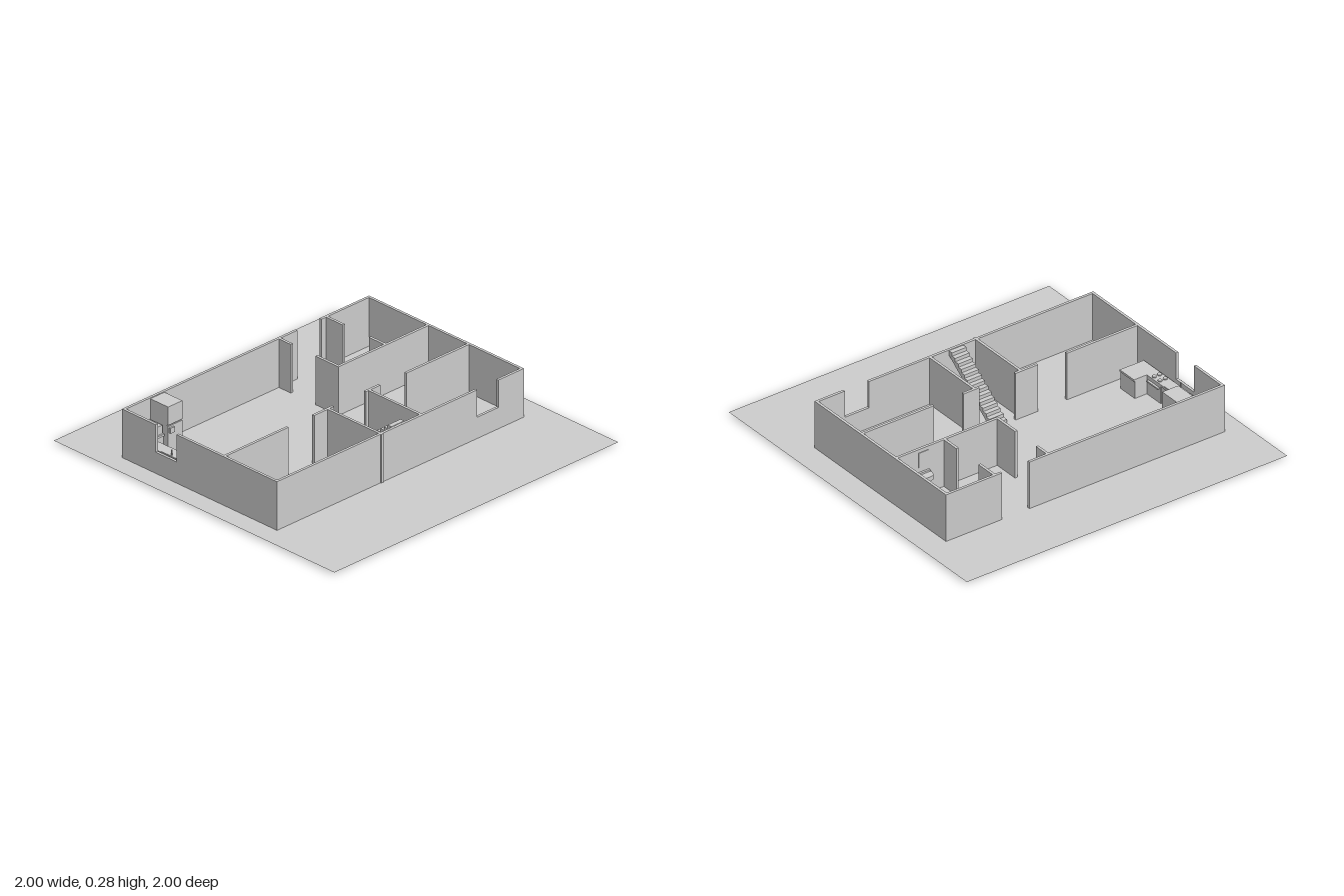
import * as THREE from 'three';

const grey = new THREE.MeshStandardMaterial({ color: 0xcccccc, flatShading: true, side: THREE.DoubleSide });
const smooth = new THREE.MeshStandardMaterial({ color: 0xcccccc, side: THREE.DoubleSide });

const BASE = 0.008, TOP = 0.285, SILL = 0.13, FLOOR = 0.01;

export function createModel() {
  const model = new THREE.Group();
  model.name = 'floorPlanHouse';

  const group = (name) => {
    const g = new THREE.Group();
    g.name = name;
    model.add(g);
    return g;
  };
  const add = (parent, name, geometry, material = grey) => {
    const mesh = new THREE.Mesh(geometry, material);
    mesh.name = name;
    parent.add(mesh);
    return mesh;
  };
  // Box given by its limits on each axis
  const box = (parent, name, x0, x1, y0, y1, z0, z1) =>
    add(parent, name, new THREE.BoxGeometry(x1 - x0, y1 - y0, z1 - z0))
      .position.set((x0 + x1) / 2, (y0 + y1) / 2, (z0 + z1) / 2);

  // Ground sheet
  const ground = add(model, 'ground', new THREE.PlaneGeometry(2, 2));
  ground.rotation.x = -Math.PI / 2;
  ground.position.y = FLOOR;

  // Outer walls: x0, x1, z0, z1, top
  const outer = group('outerWalls');
  [
    ['backWall', -0.885, 0.335, -0.63, -0.615, TOP],
    ['backWall', 0.505, 0.855, -0.63, -0.615, TOP],
    ['rightWall', 0.84, 0.855, -0.615, 0.46, TOP],
    ['frontWall', -0.885, 0.525, 0.46, 0.475, TOP],
    ['frontWindowSill', 0.525, 0.675, 0.46, 0.475, SILL],
    ['frontWall', 0.675, 0.855, 0.46, 0.475, TOP],
    ['leftWall', -0.885, -0.87, -0.615, -0.39, TOP],
    ['leftWindowSill', -0.885, -0.87, -0.39, -0.24, SILL],
    ['leftWall', -0.885, -0.87, -0.24, 0.46, TOP],
  ].forEach(([name, x0, x1, z0, z1, top]) => box(outer, name, x0, x1, BASE, top, z0, z1));

  // Inner partitions with doorways between the pieces
  const inner = group('innerWalls');
  [
    ['hallWall', -0.87, -0.43, 0.083, 0.098],
    ['hallWall', -0.25, -0.11, 0.083, 0.098],
    ['hallWall', 0.115, 0.215, 0.083, 0.098],
    ['hallWall', 0.4, 0.84, 0.083, 0.098],
    ['leftRoomDivider', -0.155, -0.14, 0.098, 0.48],
    ['rightRoomDivider', 0.133, 0.148, 0.098, 0.46],
    ['bathroomWall', 0.205, 0.84, -0.205, -0.19],
    ['entryPartition', 0.205, 0.22, -0.615, -0.53],
    ['entryPartition', 0.205, 0.22, -0.355, -0.205],
    ['bathroomPartition', 0.538, 0.553, -0.615, -0.495],
    ['bathroomPartition', 0.538, 0.553, -0.31, -0.205],
  ].forEach(([name, x0, x1, z0, z1]) => box(inner, name, x0, x1, BASE, TOP, z0, z1));

  // Staircase: zigzag top with a sloping underside, climbing to the front wall
  const steps = 14, z0 = 0.09, run = 0.365 / steps, rise = (TOP - FLOOR) / steps;
  const side = new THREE.Shape();
  side.moveTo(z0, FLOOR);
  for (let i = 0; i < steps; i++) {
    side.lineTo(z0 + i * run, FLOOR + (i + 1) * rise);
    side.lineTo(z0 + (i + 1) * run, FLOOR + (i + 1) * rise);
  }
  side.lineTo(z0 + steps * run, TOP - rise * 1.4);
  side.lineTo(z0 + run * 1.2, FLOOR);
  const stairs = add(model, 'stairs', new THREE.ExtrudeGeometry(side, { depth: 0.09, bevelEnabled: false }));
  stairs.rotation.y = -Math.PI / 2; // profile runs along z, depth along -x
  stairs.position.x = 0.03;

  // Kitchen units in an L along the left and back walls
  const kitchen = group('kitchen');
  box(kitchen, 'counter', -0.855, -0.79, 0, 0.11, -0.615, -0.225);
  box(kitchen, 'counterTop', -0.855, -0.785, 0.11, 0.122, -0.615, -0.225);
  box(kitchen, 'cornerCounter', -0.79, -0.705, 0, 0.11, -0.615, -0.515);
  box(kitchen, 'cornerCounterTop', -0.785, -0.705, 0.11, 0.122, -0.615, -0.51);
  box(kitchen, 'endCounter', -0.855, -0.71, 0, 0.11, -0.11, 0.01);
  box(kitchen, 'endCounterTop', -0.855, -0.705, 0.11, 0.122, -0.11, 0.01);
  box(kitchen, 'smallOven', -0.775, -0.71, 0.122, 0.17, -0.61, -0.52);

  // Sink panel set on the counter
  box(kitchen, 'sinkPanel', -0.853, -0.787, 0.12, 0.125, -0.38, -0.25);
  const tap = add(kitchen, 'tap', new THREE.CylinderGeometry(0.004, 0.004, 0.035, 8), smooth);
  tap.position.set(-0.845, 0.14, -0.315);

  // Stove with four burners and a door handle
  box(kitchen, 'stove', -0.855, -0.785, 0, 0.122, -0.225, -0.11);
  box(kitchen, 'stoveHandle', -0.785, -0.772, 0.092, 0.1, -0.215, -0.125);
  for (const x of [-0.836, -0.804]) {
    for (const z of [-0.195, -0.147]) {
      add(kitchen, 'burner', new THREE.CylinderGeometry(0.012, 0.012, 0.006, 16), smooth)
        .position.set(x, 0.125, z);
    }
  }

  // Fridge with two doors and a handle
  const fridge = group('fridge');
  box(fridge, 'fridgeBody', -0.7, -0.6, 0, 0.28, -0.615, -0.495);
  box(fridge, 'lowerDoor', -0.7, -0.6, 0.012, 0.17, -0.495, -0.488);
  box(fridge, 'upperDoor', -0.7, -0.6, 0.176, 0.28, -0.495, -0.488);
  box(fridge, 'fridgeHandle', -0.693, -0.663, 0.13, 0.16, -0.488, -0.478);

  // Rounded, tapering outline shared by the toilet seat and the washbasin
  const taperedSlab = (back, front, length, height) => {
    const s = new THREE.Shape();
    s.moveTo(-back, 0);
    s.lineTo(-front, length * 0.75);
    s.quadraticCurveTo(-front * 0.85, length, 0, length);
    s.quadraticCurveTo(front * 0.85, length, front, length * 0.75);
    s.lineTo(back, 0);
    return new THREE.ExtrudeGeometry(s, { depth: height, bevelEnabled: false, curveSegments: 6 })
      .rotateX(-Math.PI / 2); // outline points to -z, thickness goes up
  };

  // Toilet: round bowl near the right wall with its tapered front facing -x
  const toilet = group('toilet');
  const bowl = [[0.025, FLOOR], [0.022, 0.05], [0.032, 0.075], [0.04, 0.1], [0.036, 0.1], [0.024, 0.08], [0, 0.072]]
    .map(([r, y]) => new THREE.Vector2(r, y));
  add(toilet, 'toiletBowl', new THREE.LatheGeometry(bowl, 32), smooth).position.set(0.785, 0, -0.41);
  const seat = add(toilet, 'toiletFront', taperedSlab(0.037, 0.028, 0.045, 0.022));
  seat.rotation.y = Math.PI / 2;
  seat.position.set(0.755, 0.07, -0.41);

  // Washbasin on the bathroom wall with a mirror above
  const basin = group('washbasin');
  add(basin, 'basin', taperedSlab(0.042, 0.032, 0.055, 0.025)).position.set(0.68, 0.115, -0.205);
  box(basin, 'basinBack', 0.645, 0.715, 0.135, 0.15, -0.217, -0.205);
  box(basin, 'mirror', 0.648, 0.712, 0.18, 0.265, -0.209, -0.205);

  return model;
}
